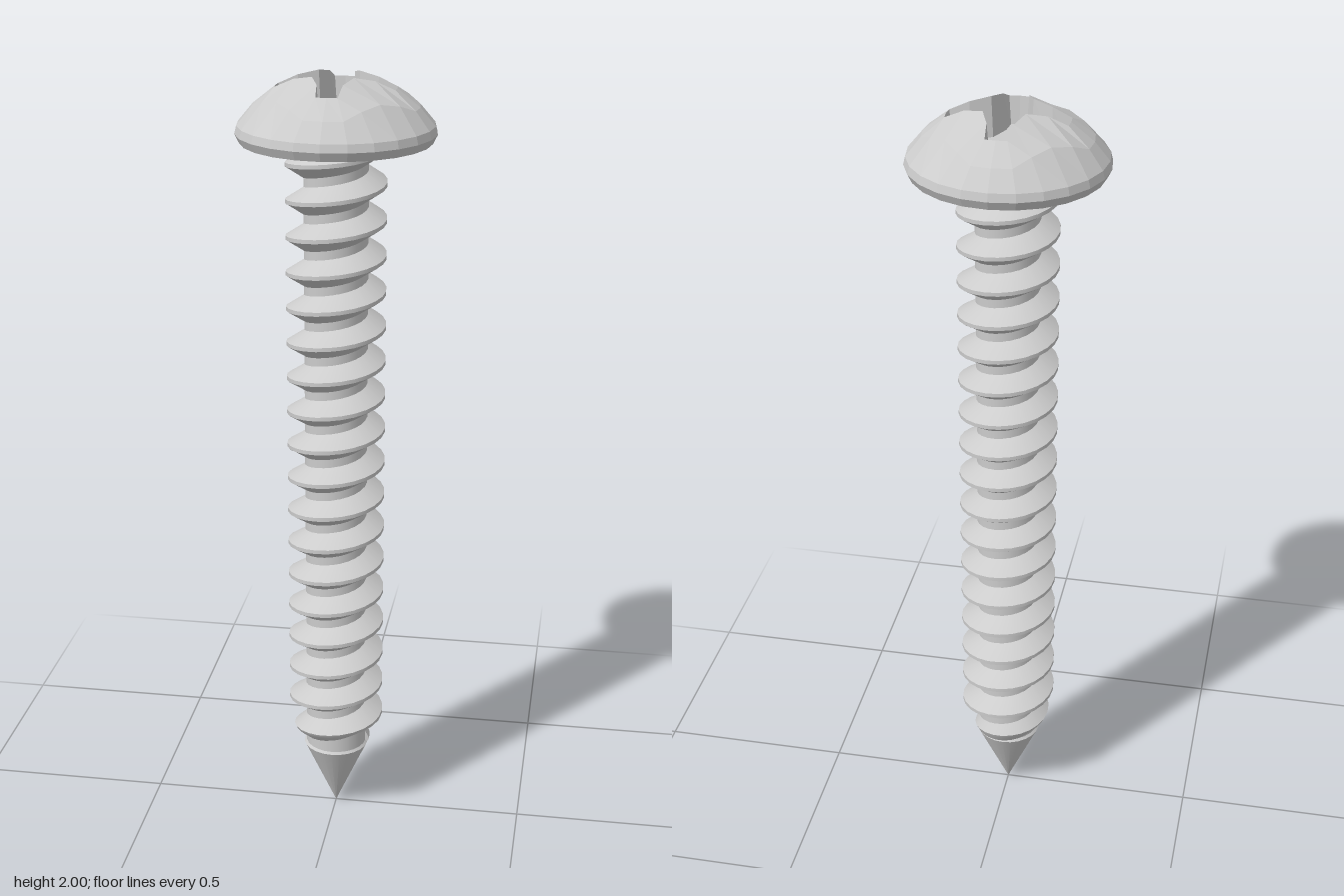
import * as THREE from 'three';
import { toCreasedNormals } from 'three/addons/utils/BufferGeometryUtils.js';

const CORE = 0.08, CREST = 0.125, PITCH = 0.0905, SLOPE = 0.45;

// Skin a list of equal-length rows of points; each quad faces outward.
function loft(rows, closed) {
  const n = rows[0].length, index = [];
  for (let i = 0; i < rows.length - 1; i++) {
    for (let j = 0; j < (closed ? n : n - 1); j++) {
      const a = i * n + j, b = i * n + (j + 1) % n, c = a + n, d = b + n;
      index.push(a, b, c, b, d, c);
    }
  }
  const geo = new THREE.BufferGeometry();
  geo.setAttribute('position', new THREE.Float32BufferAttribute(rows.flat(2), 3));
  geo.setIndex(index);
  geo.computeVertexNormals();
  return geo;
}

// Turn one quadrant of a cross four times: 24 points
function cross(quadrant) {
  return [0, 1, 2, 3].flatMap(q => quadrant.map(([x, z]) =>
    new THREE.Vector2(x, z).rotateAround(new THREE.Vector2(), q * Math.PI / 2)));
}

function makeHead() {
  // Cross recess: upper edge and slightly smaller floor
  const edge = cross([[0.147, 0], [0.145, 0.026], [0.098, 0.031], [0.05, 0.05], [0.031, 0.098], [0.026, 0.145]]);
  const floor = cross([[0.138, 0], [0.136, 0.02], [0.096, 0.024], [0.045, 0.045], [0.024, 0.096], [0.02, 0.136]]);
  const n = edge.length;
  const dome = r => 2.006 - 1.5 * r ** 2 - 12 * r ** 4;
  const circle = (r, y) => edge.map((_, i) => {
    const a = i / n * Math.PI * 2;
    return [r * Math.cos(a), y, r * Math.sin(a)];
  });
  // Dome rows blend from the recess edge to the round rim
  const domeRow = t => edge.map((p, i) => {
    const a = i / n * Math.PI * 2;
    const x = THREE.MathUtils.lerp(p.x, 0.24 * Math.cos(a), t);
    const z = THREE.MathUtils.lerp(p.y, 0.24 * Math.sin(a), t);
    return [x, dome(Math.hypot(x, z)), z];
  });
  // From the underside up over the dome and down into the recess
  return loft([
    circle(0, 1.838), circle(0.234, 1.838), circle(0.245, 1.86),
    domeRow(1), domeRow(0.6), domeRow(0),
    floor.map(p => [p.x, 1.9, p.y]), circle(0, 1.9),
  ].map(row => row.reverse()), true);
}

function makeThread() {
  const steps = 24, rows = [];
  // Tooth section, top to bottom: [radius, height offset]
  const tooth = [[CORE - 0.006, 0.038], [CREST, 0.005], [CREST, -0.005], [CORE - 0.006, -0.038]];
  const yLeft = 1.78;  // crest height on the -x side
  const first = Math.round((0.195 - yLeft) / PITCH * steps);
  const last = Math.round((1.88 - yLeft) / PITCH * steps);
  for (let i = first; i <= last; i++) {
    const a = Math.PI + i / steps * Math.PI * 2, y = yLeft + PITCH * i / steps;
    rows.push(tooth.map(([r, dy]) => {
      const h = Math.min(y + dy, 1.845);  // the top turn runs into the head
      const rad = Math.min(r, SLOPE * h);  // the point trims the lowest turns
      return [rad * Math.cos(a), h, -rad * Math.sin(a)];
    }));
  }
  // Close the lower end of the ridge onto the core
  const [top, , , bottom] = rows[0];
  rows.unshift(rows[0].map(p => [(top[0] + bottom[0]) / 2, p[1], (top[2] + bottom[2]) / 2]));
  return toCreasedNormals(loft(rows, false), 0.6);
}

export function createModel() {
  const group = new THREE.Group();
  const smooth = new THREE.MeshStandardMaterial({ color: 0xcccccc, side: THREE.DoubleSide });
  const faceted = new THREE.MeshStandardMaterial({ color: 0xcccccc, flatShading: true, side: THREE.DoubleSide });
  const add = (name, geo, mat) => {
    const mesh = new THREE.Mesh(geo, mat);
    mesh.name = name;
    group.add(mesh);
  };

  // Rounded head with its cross recess
  add('head', makeHead(), faceted);

  // Shaft core and pointed tip
  const tipTop = 0.19;
  const profile = [[0, 0], [SLOPE * tipTop, tipTop], [CORE, tipTop + 0.006], [CORE, 1.842]]
    .map(p => new THREE.Vector2(...p));
  add('shaft', toCreasedNormals(new THREE.LatheGeometry(profile, 24), 0.6), smooth);

  // Helical ridge
  add('thread', makeThread(), smooth);
  return group;
}
